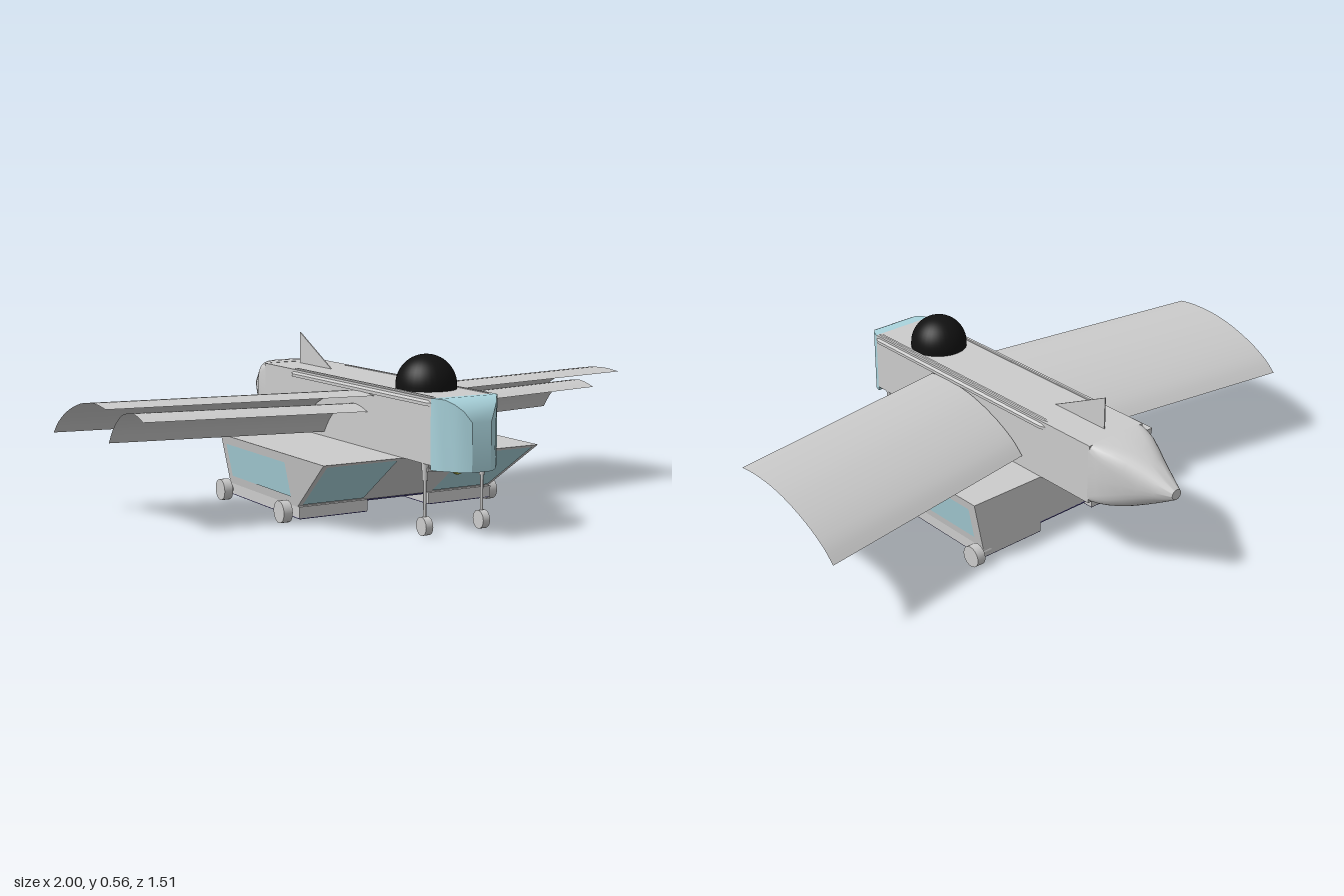
import * as THREE from 'three';
import { toCreasedNormals } from 'three/addons/utils/BufferGeometryUtils.js';

const mat = (color, side = THREE.FrontSide) => new THREE.MeshStandardMaterial({ color, side });
const GREY = mat(0xcccccc);
const SHEET = mat(0xcccccc, THREE.DoubleSide);
const CYAN = mat(0xaad4dd);
const GLASS = mat(0xaad4dd, THREE.DoubleSide);
const BLACK = mat(0x111111);
const NAVY = mat(0x453f7c);
const OLIVE = mat(0x99993a);

// Skin through equal-sized rings, closed at both ends
function loft(rings, crease = 0.5) {
  const pos = [];
  const tri = (...p) => p.forEach((q) => pos.push(...q));
  const n = rings[0].length;
  for (let i = 0; i < rings.length - 1; i++) {
    for (let j = 0; j < n; j++) {
      const k = (j + 1) % n;
      const a = rings[i][j], b = rings[i][k], c = rings[i + 1][k], d = rings[i + 1][j];
      tri(a, b, c);
      tri(a, c, d);
    }
  }
  const first = rings[0], last = rings[rings.length - 1];
  for (let j = 1; j < n - 1; j++) {
    tri(first[0], first[j + 1], first[j]);
    tri(last[0], last[j], last[j + 1]);
  }
  const g = new THREE.BufferGeometry();
  g.setAttribute('position', new THREE.Float32BufferAttribute(pos, 3));
  return toCreasedNormals(g, crease);
}

// Flat four-cornered panel
function panel(a, b, c, d) {
  const g = new THREE.BufferGeometry();
  g.setAttribute('position', new THREE.Float32BufferAttribute([a, b, c, a, c, d].flat(), 3));
  g.computeVertexNormals();
  return g;
}

// Swept curved sheet: profile of [distance behind the leading edge, height]
function wingSheet(profile, side, root, tip) {
  const curve = new THREE.SplineCurve(profile.map((p) => new THREE.Vector2(...p)));
  const g = new THREE.PlaneGeometry(1, 1, 1, 18);
  const p = g.attributes.position;
  for (let i = 0; i < p.count; i++) {
    const s = p.getX(i) + 0.5;
    const q = curve.getPoint(0.5 - p.getY(i));
    const [x, z, dy] = root.map((r, k) => r + (tip[k] - r) * s);
    p.setXYZ(i, side * x, q.y + dy, z - q.x);
  }
  g.computeVertexNormals();
  return g;
}

export function createModel() {
  const model = new THREE.Group();
  const add = (name, geometry, material, x = 0, y = 0, z = 0) => {
    const m = new THREE.Mesh(geometry, material);
    m.name = name;
    m.position.set(x, y, z);
    model.add(m);
    return m;
  };
  const box = (name, w, h, d, x, y, z, m = GREY) => add(name, new THREE.BoxGeometry(w, h, d), m, x, y, z);
  const wheel = (name, r, w, x, y, z) => {
    add(name, new THREE.CylinderGeometry(r, r, w, 24), GREY, x, y, z).rotation.z = Math.PI / 2;
  };

  // Fuselage and nose
  box('fuselage', 0.24, 0.21, 1.13, 0, 0.34, 0.085);
  const noseStations = [[0.65, 0.12, 0.445], [0.675, 0.112, 0.446], [0.695, 0.095, 0.443],
    [0.72, 0.077, 0.43], [0.74, 0.057, 0.41], [0.755, 0.035, 0.375]];
  add('nose', loft(noseStations.map(([z, w, t]) =>
    [[w, 0.22, z], [w, t, z], [-w, t, z], [-w, 0.22, z]])), CYAN);

  // Tail cone: squarish section turning round toward the tip
  const tailStations = [[-0.755, 0.02, 0.018, 1], [-0.7, 0.047, 0.05, 0.95], [-0.65, 0.07, 0.076, 0.85],
    [-0.6, 0.092, 0.096, 0.65], [-0.55, 0.112, 0.106, 0.45], [-0.51, 0.12, 0.108, 0.3], [-0.475, 0.121, 0.105, 0.15]];
  const power = (v, e) => Math.sign(v) * Math.pow(Math.abs(v), e);
  add('tailCone', loft(tailStations.map(([z, w, h, e]) => Array.from({ length: 32 }, (_, j) => {
    const a = (j / 32) * Math.PI * 2 + Math.PI / 4;
    return [w * power(Math.cos(a), e), 0.341 + h * power(Math.sin(a), e), z];
  })), 0.6), GREY);

  // Tail fin
  const fin = new THREE.Shape([[-0.18, 0.44], [-0.425, 0.44], [-0.425, 0.558]].map((p) => new THREE.Vector2(-p[0], p[1])));
  const finGeo = new THREE.ExtrudeGeometry(fin, { depth: 0.004, bevelEnabled: false });
  finGeo.translate(0, 0, -0.002).rotateY(Math.PI / 2);
  add('tailFin', finGeo, GREY);

  // Domed canopy
  add('dome', new THREE.SphereGeometry(0.1, 32, 16, 0, Math.PI * 2, 0, Math.PI / 2), BLACK, 0, 0.457, 0.435);
  add('domeBase', new THREE.CylinderGeometry(0.1, 0.1, 0.014, 32), BLACK, 0, 0.45, 0.435);

  // Cargo pod: wide at the top, sloped front
  const podRing = (w, y, zf) => [[w, y, zf], [w, y, -0.25], [-w, y, -0.25], [-w, y, zf]];
  add('cargoPod', loft([podRing(0.375, 0.06, 0.25), podRing(0.41, 0.235, 0.49)]), GREY);
  box('podFloor', 0.24, 0.006, 0.5, 0, 0.058, 0, NAVY);
  const podX = (y) => 0.375 + (y - 0.06) * 0.2 + 0.002;
  const podZ = (y) => 0.25 + (y - 0.06) * 1.371 + 0.003;

  const mainProfile = [[0, 0.415], [0.07, 0.421], [0.16, 0.417], [0.25, 0.4], [0.35, 0.365], [0.43, 0.322], [0.478, 0.28]];
  const lowerProfile = [[0, 0.356], [0.05, 0.37], [0.1, 0.373], [0.18, 0.355], [0.25, 0.306], [0.295, 0.25]];

  for (const s of [1, -1]) {
    const side = s > 0 ? 'left' : 'right';

    // Wings
    add(side + 'Wing', wingSheet(mainProfile, s, [0.125, 0.317, 0], [1, 0.18, 0]), SHEET);
    add(side + 'LowerWing', wingSheet(lowerProfile, s, [0.12, 0.265, 0], [0.88, 0.185, 0.01]), SHEET);

    // Bevelled rail along the upper edge of the fuselage
    const railRing = (z, k) => {
      const r = [[0.1, 0.42], [0.12 + 0.008 * k, 0.42], [0.12 + 0.008 * k, 0.43], [0.108, 0.445 + 0.003 * k], [0.1, 0.445 + 0.003 * k]]
        .map(([x, y]) => [s * x, y, z]);
      return s > 0 ? r : r.reverse();
    };
    add(side + 'Rail', loft([railRing(-0.27, 0), railRing(-0.25, 1), railRing(0.635, 1), railRing(0.65, 0)]), GREY);

    // Pod windows
    const [lo, hi] = [0.09, 0.205];
    add(side + 'SideWindow', panel([s * podX(lo), lo, 0.22], [s * podX(lo), lo, -0.215],
      [s * podX(hi), hi, -0.215], [s * podX(hi), hi, 0.22]), GLASS);
    const [b, t] = [0.068, 0.226];
    add(side + 'FrontWindow', panel([s * 0.135, b, podZ(b)], [s * 0.363, b, podZ(b)],
      [s * 0.392, t, podZ(t)], [s * 0.135, t, podZ(t)]), GLASS);

    // Underside block with dark bottom plate
    box(side + 'SkidBlock', 0.255, 0.038, 0.515, s * 0.2475, 0.043, 0.0075);
    box(side + 'SkidPlate', 0.253, 0.004, 0.513, s * 0.2475, 0.023, 0.0075, NAVY);

    // Pod wheels
    for (const [end, z] of [['Front', 0.205], ['Rear', -0.24]]) {
      wheel(side + end + 'Wheel', 0.037, 0.032, s * 0.404, 0.04, z);
      wheel(side + end + 'Axle', 0.012, 0.06, s * 0.37, 0.04, z);
    }

    // Nose gear
    add(side + 'UpperStrut', new THREE.CylinderGeometry(0.011, 0.009, 0.06, 12), GREY, s * 0.108, 0.208, 0.6);
    add(side + 'LowerStrut', new THREE.CylinderGeometry(0.005, 0.005, 0.16, 12), GREY, s * 0.108, 0.11, 0.6);
    wheel(side + 'NoseWheel', 0.03, 0.026, s * 0.108, 0.033, 0.6);
  }

  // Crossbar and hook between the nose struts
  box('gearCrossbar', 0.216, 0.012, 0.014, 0, 0.214, 0.61);
  const hook = add('towHook', new THREE.TorusGeometry(0.024, 0.004, 8, 20, Math.PI), OLIVE, 0, 0.22, 0.625);
  hook.rotation.z = Math.PI;

  return model;
}
